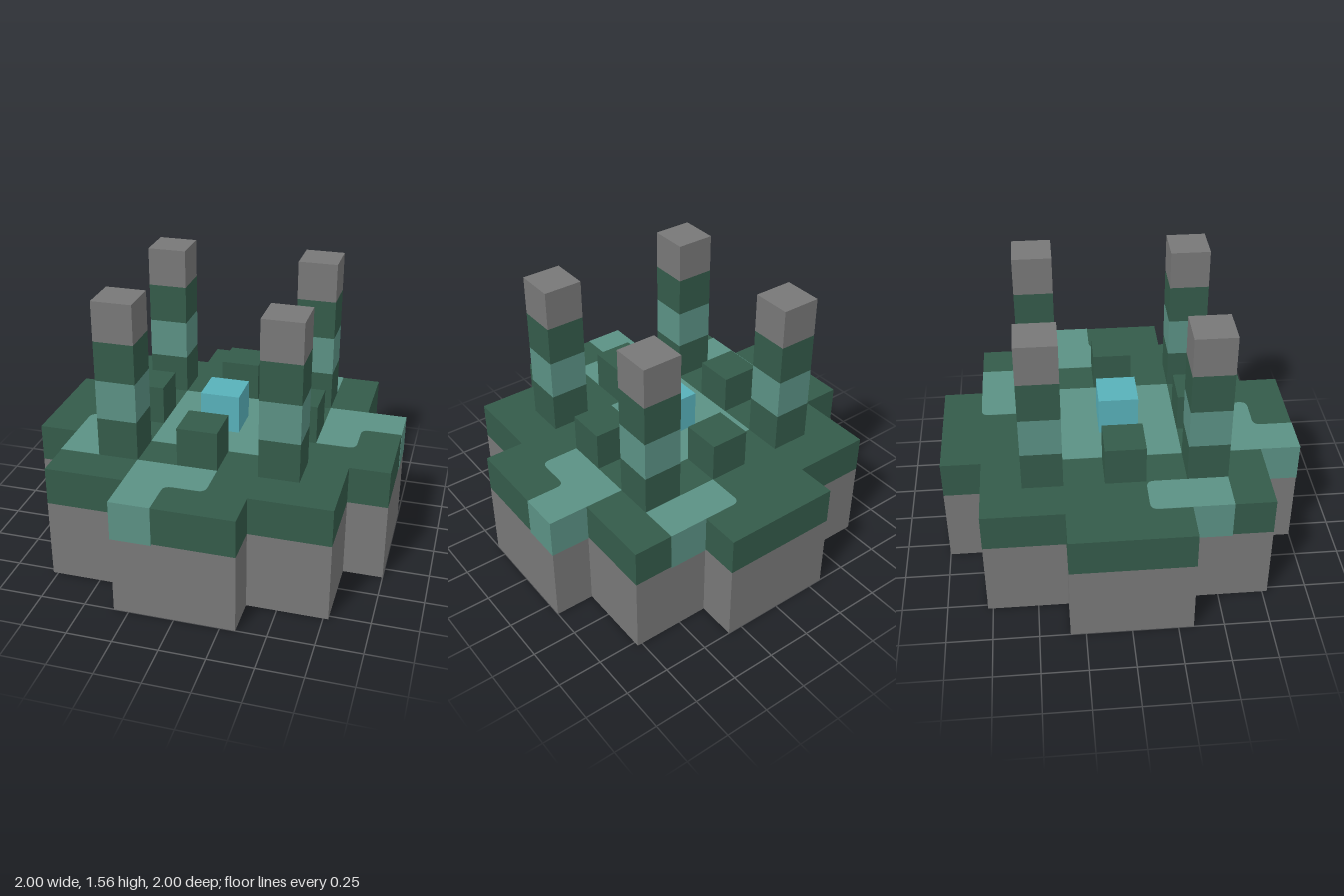
import * as THREE from 'three';

const U = 2 / 9;          // one block
const STONE_TOP = 0.453;
const DECK_TOP = 3 * U;
const E = 0.002;          // how far inlays stand proud of the deck

const flat = (name, color) => {
  const m = new THREE.MeshStandardMaterial({ color });
  m.name = name;
  return m;
};

// Outline of [x, z, cornerRadius] points, measured in blocks
function outline(points) {
  const pts = points.map(([x, z, r = 0]) => ({ p: new THREE.Vector2(x * U, -z * U), r: r * U }));
  const shape = new THREE.Shape();
  pts.forEach(({ p, r }, i) => {
    const prev = pts[(i + pts.length - 1) % pts.length].p;
    const next = pts[(i + 1) % pts.length].p;
    const a = p.clone().add(prev.clone().sub(p).setLength(r));
    const b = p.clone().add(next.clone().sub(p).setLength(r));
    if (i === 0) shape.moveTo(a.x, a.y);
    else shape.lineTo(a.x, a.y);
    if (r > 0) shape.quadraticCurveTo(p.x, p.y, b.x, b.y);
  });
  shape.closePath();
  return shape;
}

// Vertical prism of an outline between two heights
function slab(name, points, y0, y1, material) {
  const geo = new THREE.ExtrudeGeometry(outline(points), {
    depth: y1 - y0, bevelEnabled: false, curveSegments: 5,
  });
  geo.rotateX(-Math.PI / 2).translate(0, y0, 0);
  const mesh = new THREE.Mesh(geo, material);
  mesh.name = name;
  return mesh;
}

// One cube at block column (i, k), standing on the given layer
function block(name, i, layer, k, material) {
  const mesh = new THREE.Mesh(new THREE.BoxGeometry(U, U, U), material);
  mesh.position.set(i * U, (layer + 0.5) * U, k * U);
  mesh.name = name;
  return mesh;
}

export function createModel() {
  const stone = flat('grey stone', 0x787878);
  const dark = flat('dark green', 0x345b4a);
  const light = flat('light green', 0x5b9184);
  const blue = flat('bright blue', 0x58b1ba);
  const model = new THREE.Group();
  model.name = 'shrine';

  // Stepped, cross-shaped platform: one quarter outline turned four times
  const plan = [];
  const quarter = [[4.5, -1.5], [4.5, 1.5], [3.5, 1.5], [3.5, 3.5], [1.5, 3.5]];
  for (let t = 0; t < 4; t++) {
    for (const [x, z] of quarter) {
      plan.push([[x, z], [-z, x], [-x, -z], [z, -x]][t]);
    }
  }
  model.add(slab('stoneBase', plan, 0, STONE_TOP, stone));
  model.add(slab('deck', plan, STONE_TOP, DECK_TOP, dark));

  // Light inlays, running through the deck to its outer walls
  const e = E / U, r = 0.2;
  const inlays = {
    centreFloor: [[-1.5, -1.5], [1.5, -1.5], [1.5, 1.5], [-1.5, 1.5]],
    backInlay: [[0.5, -3.5 - e, r], [2.5, -3.5 - e], [2.5, -2.5], [0.5, -2.5]],
    leftInlay: [[2.5, -1.5 - e], [4.5 + e, -1.5 - e], [4.5 + e, -0.5], [3.5, -0.5, r],
      [3.5, 0.5, r], [2.5, 0.5]],
    rightInlay: [[-3.5 - e, 0.5, r], [-2.5, 0.5, r], [-2.5, 2.5], [-3.5 - e, 2.5]],
    frontInlay: [[-1.5 - e, 2.5], [0.5, 2.5], [0.5, 3.5, r], [-0.5, 3.5, r],
      [-0.5, 4.5 + e], [-1.5 - e, 4.5 + e]],
  };
  for (const [name, points] of Object.entries(inlays)) {
    model.add(slab(name, points, 2 * U, DECK_TOP + E, light));
  }

  // Glowing core and the four low blocks around it
  model.add(block('core', 0, 3, 0, blue));
  for (const [i, k] of [[2, 0], [-2, 0], [0, 2], [0, -2]]) {
    model.add(block('lowBlock', i, 3, k, dark));
  }

  // Banded corner pillars
  for (const i of [-2, 2]) {
    for (const k of [-2, 2]) {
      const pillar = new THREE.Group();
      pillar.name = 'pillar';
      [dark, light, dark, stone].forEach((m, n) => {
        pillar.add(block(n === 3 ? 'pillarCap' : 'pillarBand', i, 3 + n, k, m));
      });
      model.add(pillar);
    }
  }
  return model;
}
